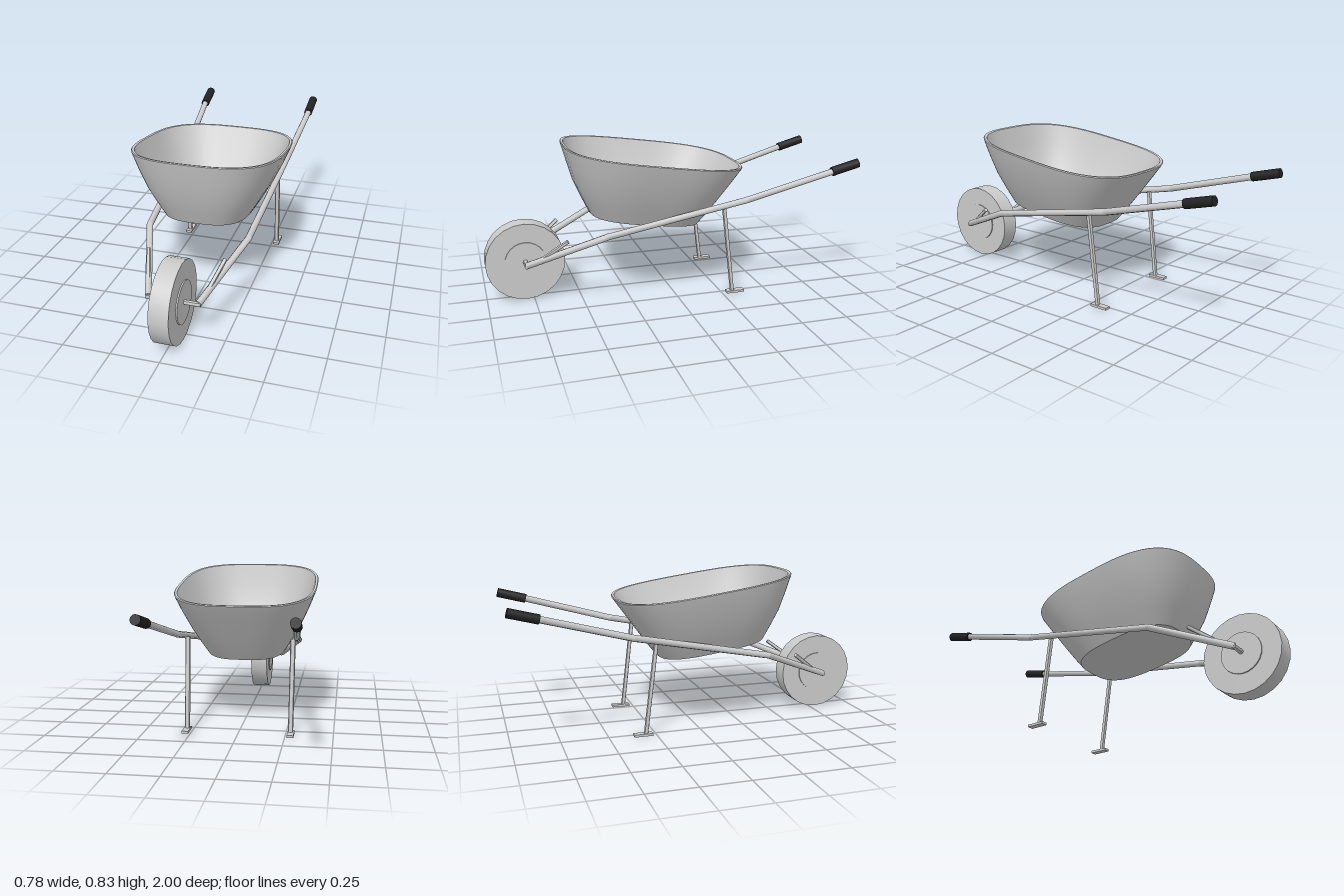
import * as THREE from 'three';
import { toCreasedNormals } from 'three/addons/utils/BufferGeometryUtils.js';

const grey = new THREE.MeshStandardMaterial({ color: 0xcccccc });
const rubber = new THREE.MeshStandardMaterial({ color: 0x222222 });

function add(parent, name, geometry, material = grey) {
  const mesh = new THREE.Mesh(geometry, material);
  mesh.name = name;
  parent.add(mesh);
  return mesh;
}

// Round bar between two points
function bar(parent, name, a, b, radius, sides = 8, material = grey) {
  const from = new THREE.Vector3(...a), to = new THREE.Vector3(...b);
  const dir = to.clone().sub(from);
  const geometry = toCreasedNormals(new THREE.CylinderGeometry(radius, radius, dir.length(), sides), 0.9);
  const mesh = add(parent, name, geometry, material);
  mesh.position.copy(from).add(to).multiplyScalar(0.5);
  mesh.quaternion.setFromUnitVectors(new THREE.Vector3(0, 1, 0), dir.normalize());
  return mesh;
}

// Tub: rounded-rectangle rings in tilted planes, up the outside and down the inside
function tubGeometry() {
  const segments = 64, power = 2 / 3, slope = 0.143;
  // half width, half depth, centre height, centre z
  const rings = [
    [0, 0, 0.412, 0.13],
    [0.222, 0.3, 0.412, 0.13],
    [0.268, 0.347, 0.49, 0.122],
    [0.312, 0.392, 0.57, 0.114],
    [0.355, 0.438, 0.665, 0.097],
    [0.386, 0.476, 0.745, 0.082],
    [0.39, 0.481, 0.757, 0.08],
    [0.386, 0.478, 0.762, 0.08],
    [0.374, 0.465, 0.76, 0.08],
    [0.342, 0.425, 0.665, 0.097],
    [0.299, 0.379, 0.57, 0.114],
    [0.255, 0.334, 0.49, 0.122],
    [0.211, 0.28, 0.422, 0.125],
    [0, 0, 0.422, 0.125],
  ];
  const soften = (v) => Math.sign(v) * Math.abs(v) ** power;
  const positions = [], index = [];
  rings.forEach(([w, d, y, zc], r) => {
    for (let i = 0; i < segments; i++) {
      const t = (i / segments) * Math.PI * 2;
      const dz = d * soften(Math.sin(t));
      positions.push(w * soften(Math.cos(t)), y + slope * dz, zc + dz);
      if (r === rings.length - 1) continue;
      const a = r * segments + i, b = r * segments + (i + 1) % segments;
      if (r < rings.length - 2) index.push(a, a + segments, b + segments);
      if (r > 0) index.push(a, b + segments, b);
    }
  });
  // The first ring collapses to a point, so its fan needs only the outer triangles
  const geometry = new THREE.BufferGeometry();
  geometry.setAttribute('position', new THREE.Float32BufferAttribute(positions, 3));
  geometry.setIndex(index);
  return toCreasedNormals(geometry, 0.6);
}

// One side of the frame; s = 1 for left, -1 for right
function frameSide(s) {
  const side = new THREE.Group();
  side.name = s > 0 ? 'leftFrame' : 'rightFrame';
  const path = [
    [0.127, 0.222, 0.79],
    [0.268, 0.388, 0.385],
    [0.307, 0.537, -0.37],
    [0.342, 0.668, -0.85],
  ].map(([x, y, z]) => [s * x, y, z]);

  // Bent handle rail with rounded joints
  for (let i = 0; i < path.length - 1; i++) {
    bar(side, 'handleRail', path[i], path[i + 1], 0.018);
    if (i > 0) add(side, 'railBend', new THREE.SphereGeometry(0.018, 12, 8)).position.set(...path[i]);
  }
  bar(side, 'grip', [s * 0.341, 0.666, -0.842], [s * 0.346, 0.706, -0.994], 0.025, 12, rubber);

  // Short strut rising from the rail beside the wheel
  bar(side, 'wheelStrut', [s * 0.155, 0.262, 0.71], [s * 0.2, 0.36, 0.58], 0.011);

  // Leg and foot plate
  const leg = bar(side, 'leg', [s * 0.276, 0.012, -0.307], [s * 0.28, 0.505, -0.247], 0.012);
  leg.scale.x = 1.15;
  add(side, 'foot', new THREE.BoxGeometry(0.035, 0.013, 0.1)).position.set(s * 0.278, 0.012, -0.322);
  return side;
}

export function createModel() {
  const model = new THREE.Group();
  model.name = 'wheelbarrow';

  add(model, 'tub', tubGeometry());

  // Wheel, raised hub discs and axle
  const wheel = new THREE.Group();
  wheel.name = 'wheel';
  wheel.position.set(0, 0.216, 0.788);
  wheel.rotation.z = Math.PI / 2;
  const disc = (name, radius, width, sides) =>
    add(wheel, name, toCreasedNormals(new THREE.CylinderGeometry(radius, radius, width, sides), 0.9));
  disc('tyre', 0.212, 0.1, 24);
  disc('hub', 0.11, 0.114, 24);
  model.add(wheel);
  bar(model, 'axle', [-0.14, 0.219, 0.79], [0.14, 0.219, 0.79], 0.0125);

  model.add(frameSide(1), frameSide(-1));
  return model;
}
